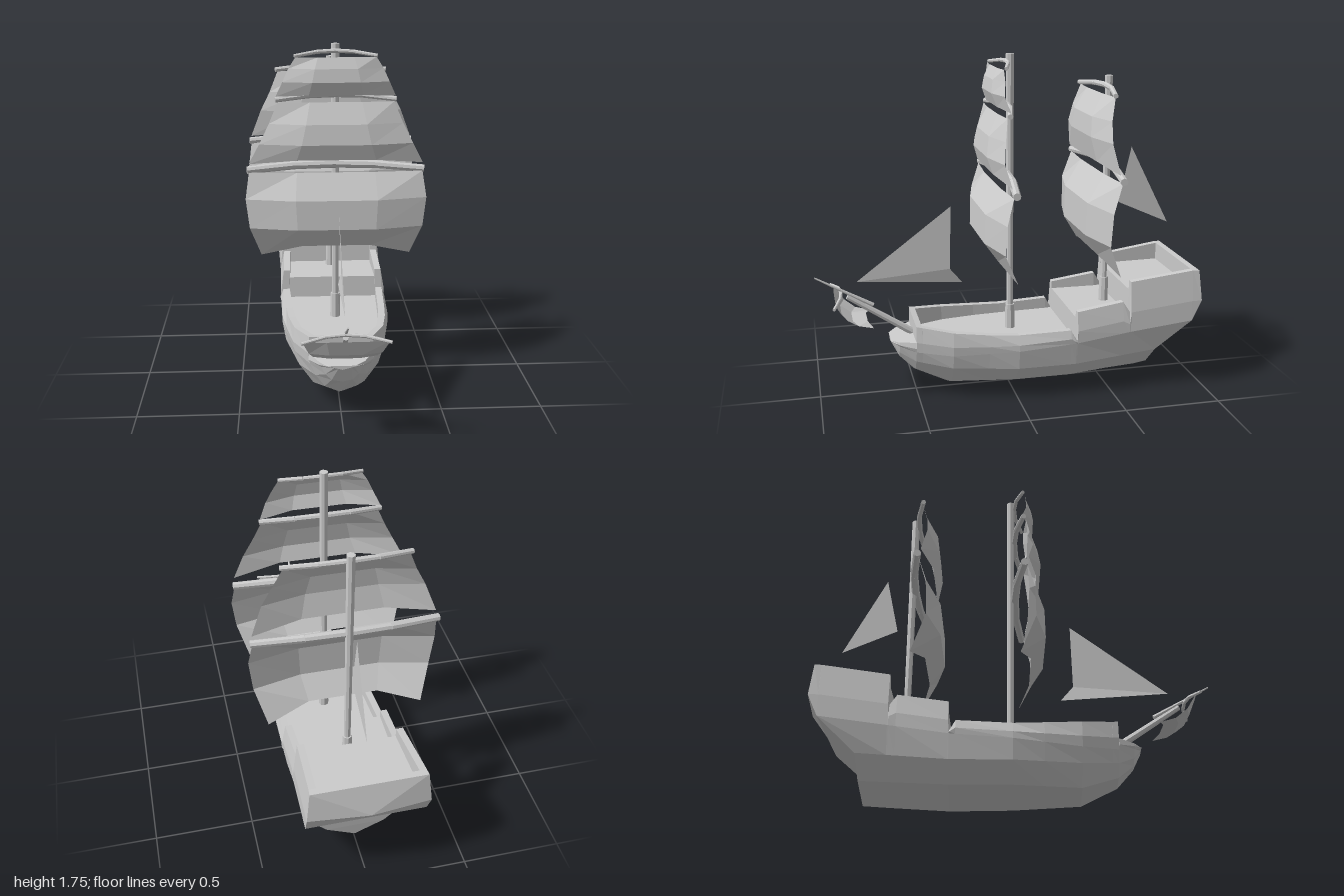
import * as THREE from 'three';

const mat = new THREE.MeshStandardMaterial({ color: 0xcccccc, flatShading: true });
const clothMat = new THREE.MeshStandardMaterial({ color: 0xcccccc, flatShading: true, side: THREE.DoubleSide });
const V = (x, y, z) => new THREE.Vector3(x, y, z);

function meshFrom(name, points, index, material) {
  const geo = new THREE.BufferGeometry().setFromPoints(points);
  geo.setIndex(index);
  geo.computeVertexNormals();
  const mesh = new THREE.Mesh(geo, material);
  mesh.name = name;
  return mesh;
}

// Lower hull sections: z, keel y, then x,y of bilge, wale and topside
const LOWER = [
  [0.63, 0.29, 0.02, 0.295, 0.04, 0.3, 0.055, 0.305],
  [0.59, 0.21, 0.05, 0.22, 0.08, 0.25, 0.1, 0.29],
  [0.51, 0.12, 0.08, 0.15, 0.125, 0.21, 0.15, 0.27],
  [0.33, 0.03, 0.13, 0.085, 0.2, 0.185, 0.222, 0.26],
  [0, 0.01, 0.18, 0.085, 0.265, 0.18, 0.282, 0.28],
  [-0.3, 0.005, 0.18, 0.085, 0.268, 0.18, 0.287, 0.3],
  [-0.74, 0.03, 0.15, 0.11, 0.25, 0.215, 0.287, 0.36],
  [-0.92, 0.03, 0.15, 0.11, 0.25, 0.215, 0.3, 0.38],
];
// Bulwarks and stepped decks: z, rail half width, rail y, deck y
const UPPER = [
  [0.63, 0.06, 0.31, 0.31], [0.59, 0.11, 0.315, 0.315], [0.511, 0.155, 0.325, 0.325],
  [0.51, 0.155, 0.41, 0.41], [0.48, 0.165, 0.405, 0.405], [0.479, 0.165, 0.405, 0.31],
  [0.33, 0.222, 0.385, 0.31], [0.15, 0.25, 0.37, 0.31], [0, 0.262, 0.362, 0.31],
  [-0.27, 0.275, 0.37, 0.31], [-0.3, 0.28, 0.315, 0.31], [-0.305, 0.272, 0.465, 0.425],
  [-0.55, 0.268, 0.5, 0.425], [-0.585, 0.275, 0.445, 0.425], [-0.59, 0.268, 0.605, 0.555],
  [-0.92, 0.282, 0.648, 0.555], [-0.921, 0.282, 0.648, 0.648], [-1, 0.285, 0.648, 0.648],
];
// Rake of the stern: furthest aft z of each section point
const AFT = [-0.72, -0.73, -0.74, -0.92, -0.97, -0.955, -0.955, -0.955];

function lowerAt(z) {
  const i = Math.max(1, LOWER.findIndex((r) => r[0] <= z));
  const b = z < -0.92 ? LOWER[LOWER.length - 1] : LOWER[i];
  const a = z < -0.92 ? b : LOWER[i - 1];
  const t = a === b ? 0 : (z - a[0]) / (b[0] - a[0]);
  return a.map((v, k) => v + (b[k] - v) * t);
}

function buildHull() {
  const pts = [], idx = [];
  for (const [z, w, rail, deck] of UPPER) {
    const [, ky, bx, by, wx, wy, mx, my] = lowerAt(z);
    const half = [
      [0, ky], [bx, by], [wx, wy], [mx, my],
      [mx + (w - mx) * 0.4 + 0.008, my + (rail - my) * 0.4],
      [w, rail], [w - 0.035, rail], [w - 0.035, deck],
    ].map(([x, y], k) => V(x, y, Math.max(z, AFT[k])));
    const mirrored = half.slice(1).reverse().map((p) => V(-p.x, p.y, p.z));
    pts.push(...half, ...mirrored);
  }
  const n = 15, last = (UPPER.length - 1) * n;
  for (let i = 0; i < UPPER.length - 1; i++) {
    for (let j = 0; j < n; j++) {
      const a = i * n + j, b = i * n + (j + 1) % n;
      idx.push(a, a + n, b, b, a + n, b + n);
    }
  }
  // Stem cap
  for (let j = 1; j < n - 1; j++) idx.push(0, j, j + 1);
  // Transom with a ridged centre line
  const c = pts.length;
  for (let j = 0; j < 6; j++) {
    const p = pts[last + j];
    pts.push(V(0, p.y, p.z - (j === 4 ? 0.03 : 0)));
  }
  for (let j = 0; j < 5; j++) {
    const r0 = last + j, r1 = r0 + 1;
    const l0 = last + (n - j) % n, l1 = last + n - j - 1;
    idx.push(r0, c + j, r1, r1, c + j, c + j + 1);
    idx.push(l0, l1, c + j, l1, c + j + 1, c + j);
  }
  return meshFrom('hull', pts, idx, mat);
}

// Tapered round spar between two points
function spar(name, a, b, ra, rb, sides = 8) {
  const dir = b.clone().sub(a);
  const mesh = new THREE.Mesh(new THREE.CylinderGeometry(rb, ra, dir.length(), sides), mat);
  mesh.position.copy(a).add(b).multiplyScalar(0.5);
  mesh.quaternion.setFromUnitVectors(V(0, 1, 0), dir.normalize());
  mesh.name = name;
  return mesh;
}

// Yard bowed forward and down toward its ends
function yard(name, hw, y, z, r) {
  const g = new THREE.Group();
  g.name = name;
  const at = (u) => V(u * hw, y + 0.01 - 0.02 * u * u, z + 0.045 * u * u);
  const us = [-1, -0.45, 0, 0.45, 1];
  for (let i = 0; i < 4; i++) {
    const rad = (u) => r * (1 - 0.15 * Math.abs(u));
    g.add(spar('yardSegment', at(us[i]), at(us[i + 1]), rad(us[i]), rad(us[i + 1])));
  }
  return g;
}

// Billowed square sail; rows are [half width, y, z at the middle]
function squareSail(name, rows, dz, lift, bulge) {
  const us = [-1, -0.45, 0, 0.45, 1], pts = [], idx = [];
  rows.forEach(([hw, y, z], i) => {
    const foot = i === rows.length - 1;
    for (const u of us) {
      const mid = 1 - Math.max(0, Math.abs(u) - 0.45) / 0.55;
      const belly = i === 0 ? 0.3 : 1;
      pts.push(V(u * hw, y + (foot ? lift * mid : 0), z + dz - bulge * belly * (1 - mid)));
    }
  });
  for (let i = 0; i < rows.length - 1; i++) {
    for (let j = 0; j < 4; j++) {
      const a = i * 5 + j;
      idx.push(a, a + 5, a + 1, a + 1, a + 5, a + 6);
    }
  }
  return meshFrom(name, pts, idx, clothMat);
}

function mast(name, z, foot, top) {
  const g = new THREE.Group();
  g.name = name;
  g.add(spar('mastFoot', V(0, foot, z), V(0, foot + 0.13, z), 0.027, 0.024));
  g.add(spar('mastPole', V(0, foot + 0.12, z), V(0, top, z), 0.017, 0.021));
  return g;
}

export function createModel() {
  const ship = new THREE.Group();
  ship.name = 'sailingShip';
  ship.add(buildHull());

  // Masts
  ship.add(mast('mainMast', -0.01, 0.31, 1.755), mast('aftMast', -0.53, 0.425, 1.635));

  // Main mast rig
  ship.add(
    yard('mainTopYard', 0.205, 1.71, 0.01, 0.011),
    yard('mainMiddleYard', 0.303, 1.495, 0.01, 0.016),
    yard('mainLowerYard', 0.45, 1.14, 0.012, 0.023),
    squareSail('mainTopSail', [[0.2, 1.695, 0.075], [0.235, 1.64, 0.1], [0.265, 1.575, 0.11], [0.3, 1.5, 0.085]], 0, 0.01, 0.035),
    squareSail('mainMiddleSail', [[0.29, 1.475, 0.08], [0.335, 1.37, 0.13], [0.385, 1.27, 0.145], [0.44, 1.165, 0.12]], 0, 0.025, 0.045),
    squareSail('mainLowerSail', [[0.44, 1.12, 0.085], [0.458, 0.99, 0.16], [0.44, 0.84, 0.165], [0.385, 0.675, 0.09]], 0, 0.06, 0.055),
  );

  // Aft mast rig
  ship.add(
    yard('aftUpperYard', 0.303, 1.578, -0.51, 0.015),
    yard('aftLowerYard', 0.45, 1.185, -0.515, 0.022),
    squareSail('aftUpperSail', [[0.29, 1.56, 0.07], [0.335, 1.45, 0.13], [0.385, 1.35, 0.14], [0.44, 1.205, 0.115]], -0.525, 0.025, 0.045),
    squareSail('aftLowerSail', [[0.44, 1.165, 0.075], [0.458, 1.02, 0.16], [0.44, 0.85, 0.165], [0.385, 0.675, 0.09]], -0.525, 0.06, 0.055),
  );

  // Fore-and-aft sails
  ship.add(
    meshFrom('jibSail', [V(0, 0.62, 0.79), V(0, 0.99, 0.3), V(0.012, 0.66, 0.31), V(0, 0.58, 0.245)], [0, 2, 1, 0, 3, 2], clothMat),
    meshFrom('spankerSail', [V(0, 1.26, -0.665), V(0, 0.965, -0.6), V(0, 0.84, -0.88)], [0, 1, 2], clothMat),
  );

  // Bowsprit with its small yard and sail
  ship.add(
    spar('bowsprit', V(0, 0.32, 0.5), V(0, 0.545, 0.84), 0.02, 0.014),
    spar('bowspritBoom', V(0, 0.49, 0.71), V(0, 0.655, 0.998), 0.012, 0.004),
    yard('spritYard', 0.2, 0.56, 0.87, 0.009),
    squareSail('spritSail', [[0.195, 0.55, 0.905], [0.165, 0.475, 0.875], [0.145, 0.435, 0.82], [0.138, 0.415, 0.745]], 0, 0.012, 0.025),
  );
  return ship;
}
